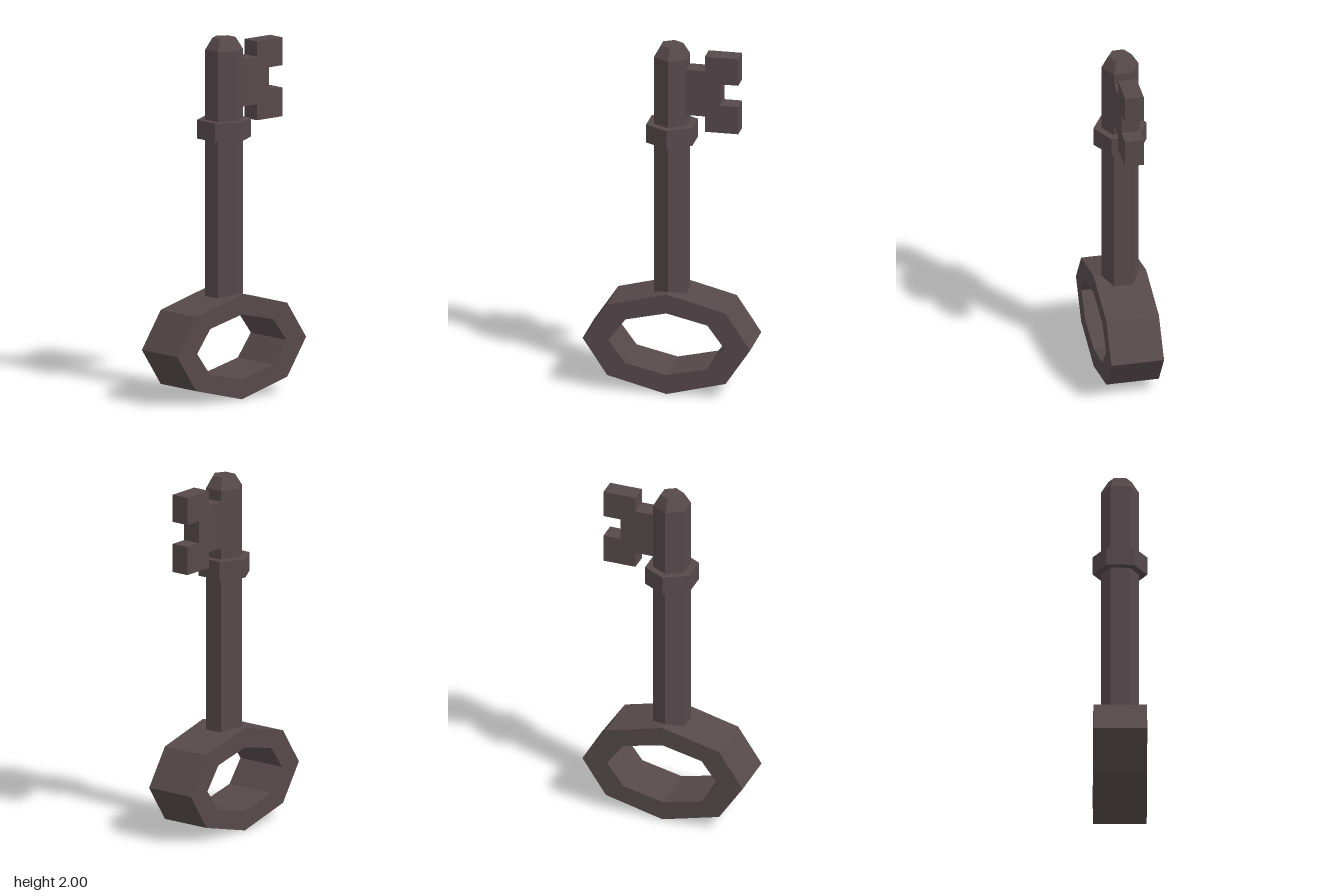
import * as THREE from 'three';

export function createModel() {
  const group = new THREE.Group();
  group.name = 'key';
  const iron = new THREE.MeshStandardMaterial({ color: 0x56494c, flatShading: true });
  iron.name = 'darkIron';

  const add = (name, geometry, y = 0) => {
    const mesh = new THREE.Mesh(geometry, iron);
    mesh.name = name;
    mesh.position.y = y;
    group.add(mesh);
  };

  // Six-sided part with edges facing front and back
  const hex = (name, rTop, rBottom, y0, y1) =>
    add(name, new THREE.CylinderGeometry(rTop, rBottom, y1 - y0, 6), (y0 + y1) / 2);

  // Flat outline extruded evenly to both sides of z = 0
  const slab = (shape, depth) =>
    new THREE.ExtrudeGeometry(shape, { depth, bevelEnabled: false }).translate(0, 0, -depth / 2);

  const octagon = (rx, ry) => Array.from({ length: 8 }, (_, i) => {
    const a = (i * Math.PI) / 4;
    return new THREE.Vector2(rx * Math.cos(a), ry * Math.sin(a));
  });

  // Bow: stretched octagonal ring used as the handle
  const ring = new THREE.Shape(octagon(0.47, 0.292));
  ring.holes.push(new THREE.Path(octagon(0.325, 0.181)));
  add('bow', slab(ring, 0.295), 0.292);

  // Shaft, tapered tip and collar
  hex('shaft', 0.105, 0.105, 0.53, 1.935);
  hex('tip', 0.065, 0.105, 1.935, 2);
  hex('collar', 0.15, 0.15, 1.44, 1.545);

  // Bit: stepped plate with a notch between two teeth
  const bit = new THREE.Shape([
    [0.05, 1.61], [0.195, 1.61], [0.195, 1.52], [0.383, 1.52], [0.383, 1.68], [0.283, 1.68],
    [0.283, 1.805], [0.383, 1.805], [0.383, 1.96], [0.195, 1.96], [0.195, 1.875], [0.05, 1.875],
  ].map(([x, y]) => new THREE.Vector2(x, y)));
  add('bit', slab(bit, 0.104));

  return group;
}
